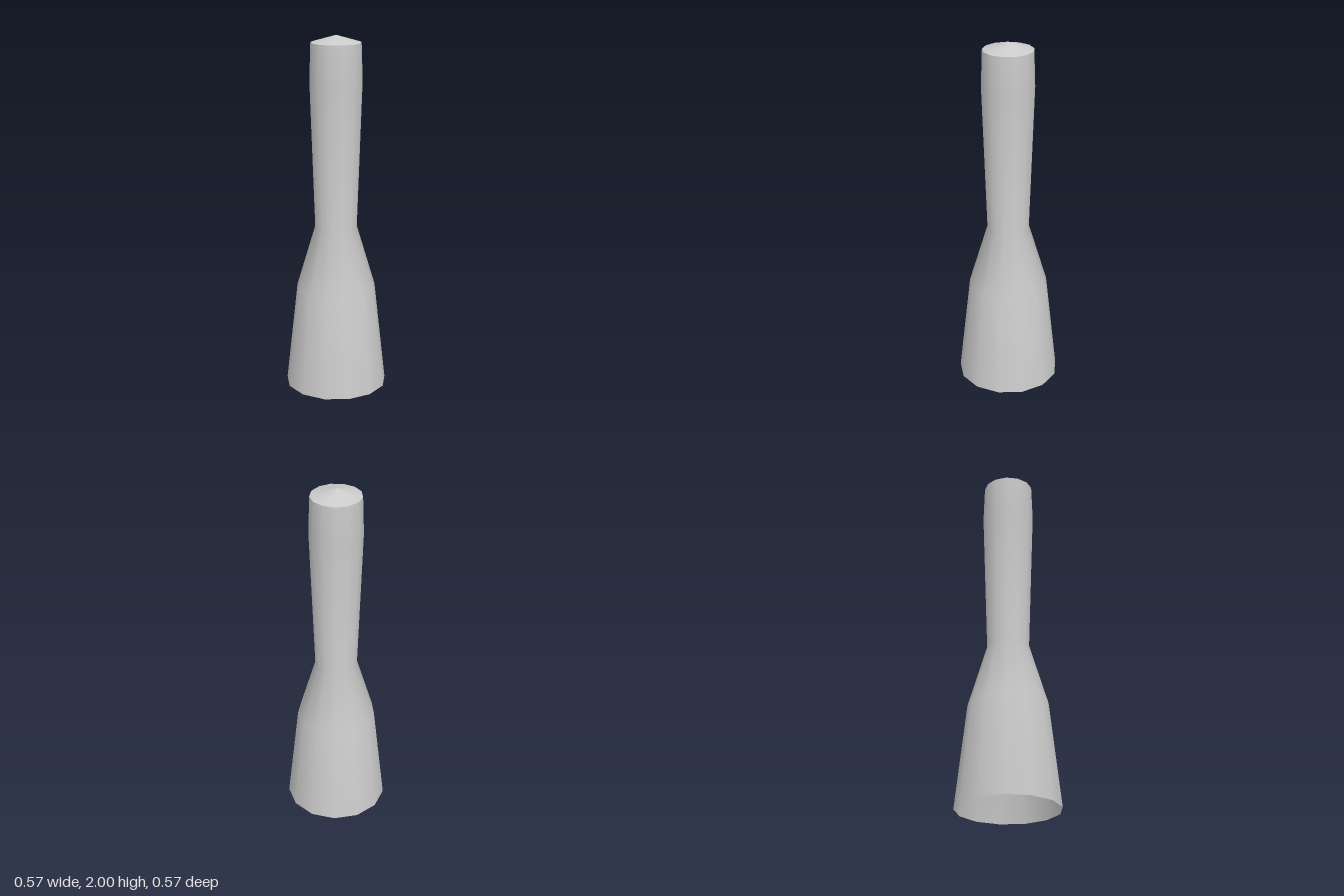
import * as THREE from 'three';

const SIDES = 13;

// Revolve [radius, height] pairs, with the first corner on +x
function turned(name, profile, material) {
  const points = profile.map(([r, y]) => new THREE.Vector2(r, y));
  const mesh = new THREE.Mesh(new THREE.LatheGeometry(points, SIDES, Math.PI / 2), material);
  mesh.name = name;
  return mesh;
}

export function createModel() {
  const group = new THREE.Group();
  group.name = 'flaredHandle';
  const material = new THREE.MeshStandardMaterial({ color: 0xcccccc, side: THREE.DoubleSide });

  // Hollow body: flared skirt, shoulder, narrow neck and slightly swollen grip, open below
  group.add(turned('body', [
    [0.287, 0], [0.222, 0.58], [0.118, 0.93], [0.146, 1.75], [0.139, 1.96],
  ], material));

  // Shallow conical cap with a crisp rim
  group.add(turned('cap', [[0.139, 1.96], [0, 2]], material));

  // The odd number of sides puts the middle of its bounds slightly off the axis
  group.position.x = -0.004;
  return group;
}
